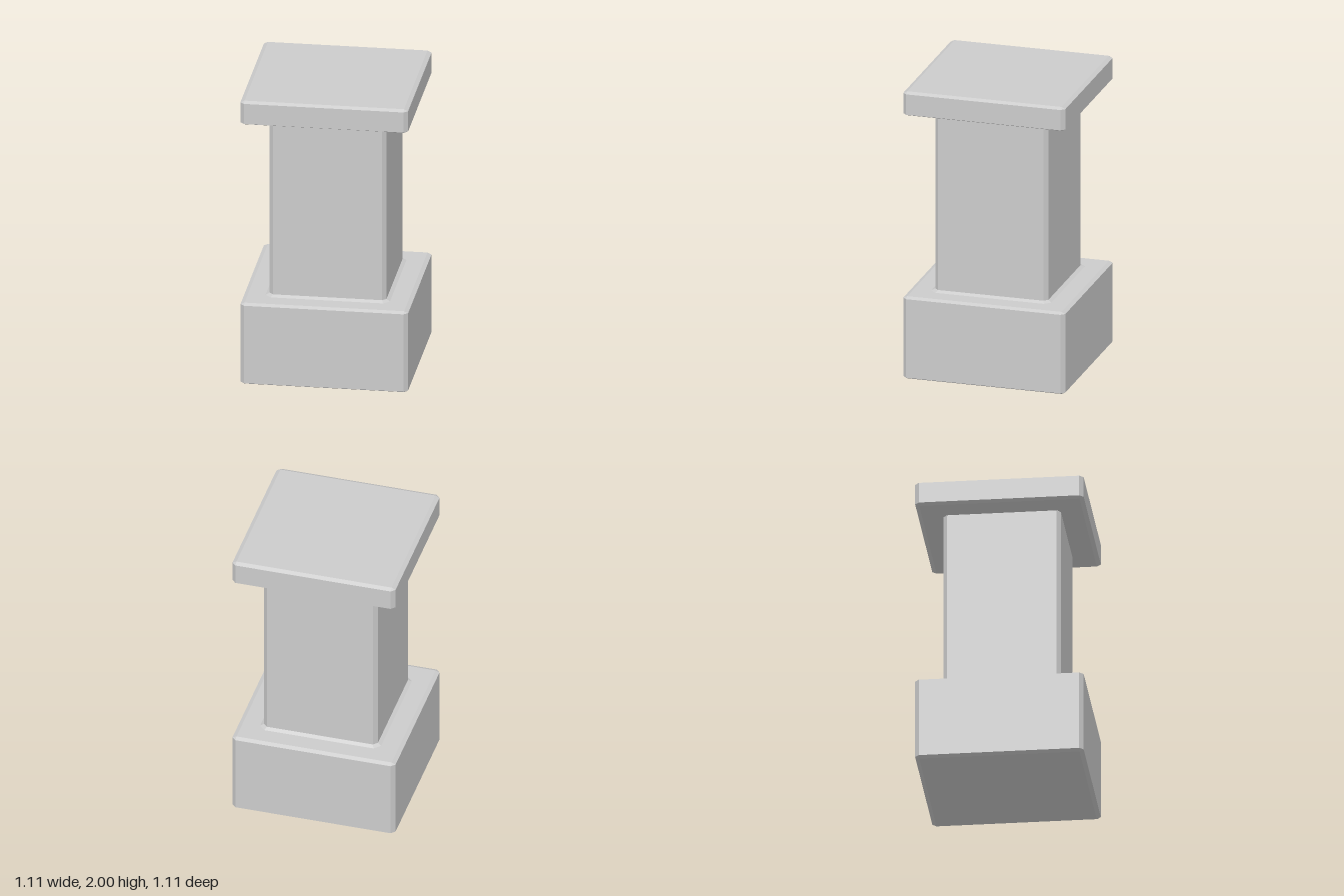
import * as THREE from 'three';

const material = new THREE.MeshStandardMaterial({ color: 0xcccccc, flatShading: true });

// Square of half-width h with its corners cut back by c, at height y
function ring([y, h, c]) {
  const a = h - c;
  return [[h, a], [h, -a], [a, -h], [-a, -h], [-h, -a], [-h, a], [-a, h], [a, h]]
    .map(([x, z]) => new THREE.Vector3(x, y, z));
}

// Flat-faced skin through a stack of rings; a ring with h = 0 closes the end
function loft(name, sections) {
  const rings = sections.map(ring);
  const points = [];
  const addFace = (a, b, c) => {
    const area = new THREE.Triangle(a, b, c).getArea();
    if (area > 1e-7) points.push(a, b, c);
  };
  for (let k = 0; k + 1 < rings.length; k++) {
    const low = rings[k], high = rings[k + 1];
    for (let i = 0; i < 8; i++) {
      const j = (i + 1) % 8;
      addFace(low[i], low[j], high[j]);
      addFace(low[i], high[j], high[i]);
    }
  }
  const geometry = new THREE.BufferGeometry().setFromPoints(points);
  geometry.computeVertexNormals();
  const mesh = new THREE.Mesh(geometry, material);
  mesh.name = name;
  return mesh;
}

export function createModel() {
  const group = new THREE.Group();
  group.name = 'pedestal';

  // Rings shared between neighbouring parts: [y, half-width, corner cut]
  const foot = [0.572, 0.413, 0.04];
  const neck = [1.833, 0.365, 0];

  // Heavy base block with bevelled edges
  group.add(loft('base', [
    [0, 0, 0], [0, 0.53, 0], [0.013, 0.557, 0.027],
    [0.56, 0.557, 0.027], [0.572, 0.53, 0], foot,
  ]));

  // Square shaft, flared at the foot and tapered in at the neck
  group.add(loft('shaft', [
    foot, [0.585, 0.389, 0.027], [1.82, 0.389, 0.027], neck,
  ]));

  // Thin bevelled slab on top
  group.add(loft('cap', [
    neck, [1.833, 0.53, 0], [1.845, 0.557, 0.027],
    [1.987, 0.557, 0.027], [2, 0.53, 0], [2, 0, 0],
  ]));

  return group;
}
